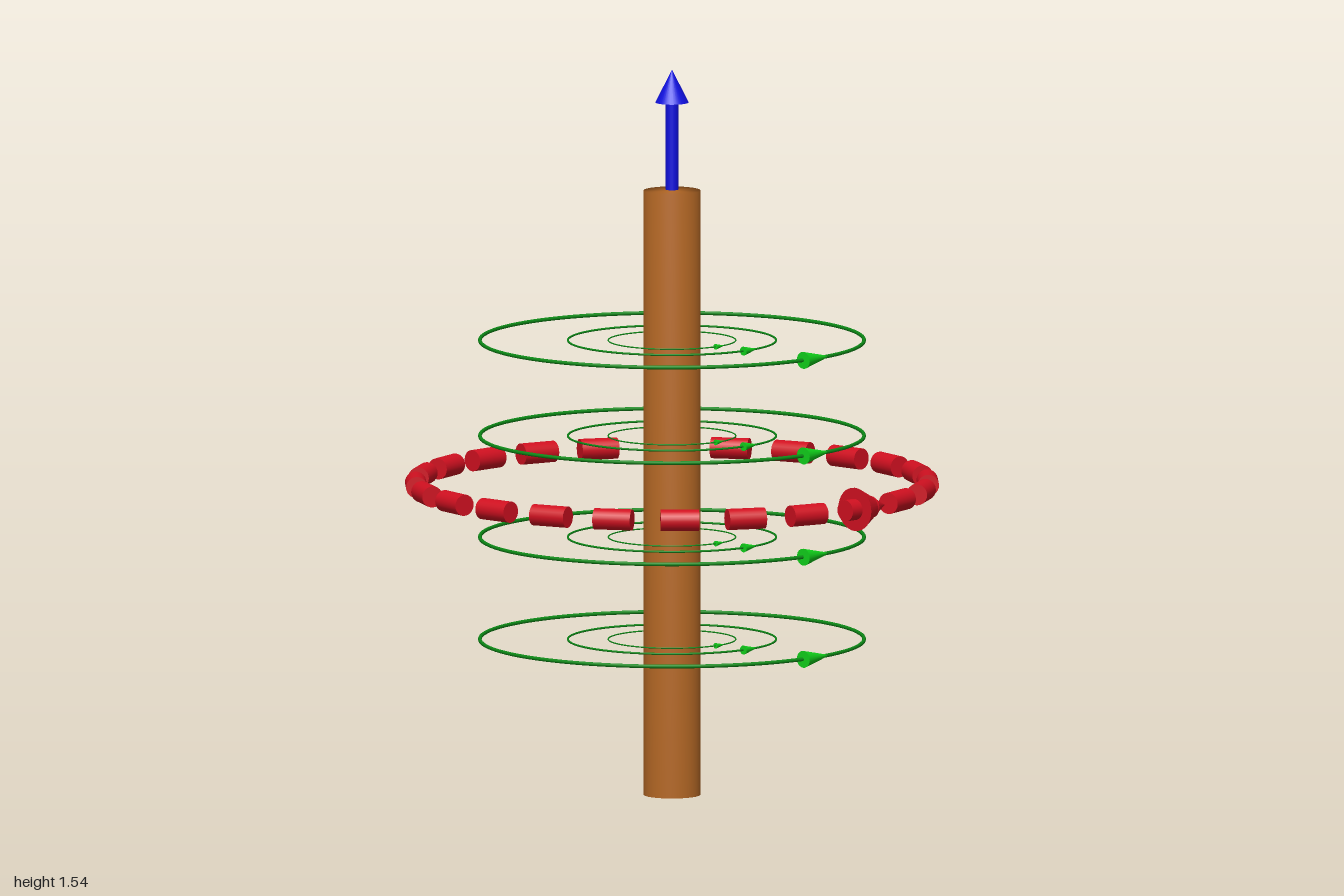
import * as THREE from 'three';

const CX = 0.437, CZ = -0.011; // axis of the wire

export function createModel() {
  const model = new THREE.Group();
  const paint = (color) => new THREE.MeshStandardMaterial({ color });
  const copper = paint(0xb86a26), blue = paint(0x1010e0), red = paint(0xd01020);
  const darkGreen = paint(0x0c8a16), green = paint(0x10d01a);

  const add = (name, geometry, material, parent, x = 0, y = 0, z = 0) => {
    const mesh = new THREE.Mesh(geometry, material);
    mesh.name = name;
    mesh.position.set(x, y, z);
    parent.add(mesh);
    return mesh;
  };

  const assembly = new THREE.Group();
  assembly.name = 'wireAndFields';
  assembly.position.set(CX, 0, CZ);
  model.add(assembly);

  // Vertical conductor, shaded smoothly across its ends
  const wireProfile = [[0, 0], [0.06, 0], [0.06, 1.283], [0, 1.283]].map(([r, y]) => new THREE.Vector2(r, y));
  add('wire', new THREE.LatheGeometry(wireProfile, 48), copper, assembly);

  // Upward current arrow
  const current = new THREE.Group();
  current.name = 'currentArrow';
  assembly.add(current);
  add('currentShaft', new THREE.CylinderGeometry(0.0135, 0.0135, 0.19, 24), blue, current, 0, 1.38, 0);
  add('currentHead', new THREE.ConeGeometry(0.035, 0.07, 32), blue, current, 0, 1.505, 0);

  // Four levels of three concentric field lines, each with a small arrowhead at the front
  const lines = [
    { r: 0.404, tube: 0.004, head: 0.018, len: 0.085 },
    { r: 0.219, tube: 0.0022, head: 0.0095, len: 0.045 },
    { r: 0.134, tube: 0.0014, head: 0.006, len: 0.028 },
  ];
  for (const y of [0.33, 0.547, 0.762, 0.965]) {
    const level = new THREE.Group();
    level.name = 'fieldLevel';
    level.position.y = y;
    assembly.add(level);
    for (const { r, tube, head, len } of lines) {
      add('fieldLine', new THREE.TorusGeometry(r, tube, 8, 96), darkGreen, level).rotation.x = Math.PI / 2;
      add('fieldArrowhead', new THREE.ConeGeometry(head, len, 24), green, level, 0, 0, r).rotation.z = -Math.PI / 2;
    }
  }

  // Dashed loop of straight rods, with a large arrowhead at the front
  const loop = new THREE.Group();
  loop.name = 'dashedLoop';
  loop.position.y = 0.66;
  assembly.add(loop);
  const R = 0.538, count = 24;
  const dash = new THREE.CylinderGeometry(0.0225, 0.0225, 0.081, 24);
  dash.rotateX(Math.PI / 2);
  for (let i = 0; i < count; i++) {
    const a = (i / count) * Math.PI * 2 + 0.036;
    add('loopDash', dash, red, loop, R * Math.cos(a), 0, R * Math.sin(a)).rotation.y = -a;
  }
  add('loopArrowhead', new THREE.ConeGeometry(0.046, 0.096, 32), red, loop, 0.017, 0, R).rotation.z = -Math.PI / 2;

  return model;
}
